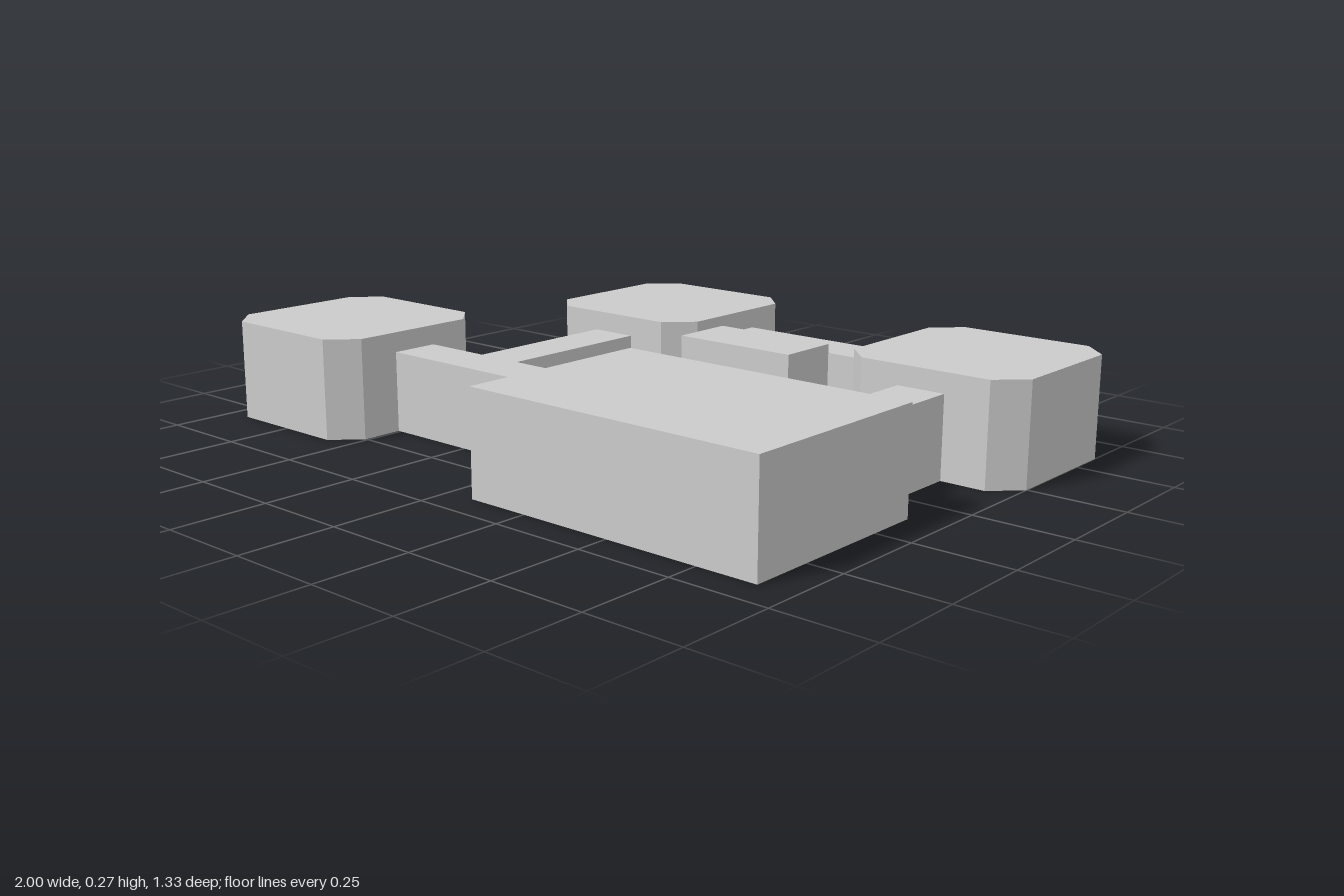
import * as THREE from 'three';

const T = 0.01;        // shell thickness
const ROOM_H = 0.268;  // room height
const HALL_H = 0.215;  // corridor height
const W = 0.13;        // corridor width
const material = new THREE.MeshStandardMaterial({ color: 0xcccccc, flatShading: true });

// Rectangular footprint [x, z] with optional cut corners
function footprint(x0, z0, x1, z1, c = 0) {
  if (!c) return [[x0, z0], [x1, z0], [x1, z1], [x0, z1]];
  return [[x0 + c, z0], [x1 - c, z0], [x1, z0 + c], [x1, z1 - c],
    [x1 - c, z1], [x0 + c, z1], [x0, z1 - c], [x0, z0 + c]];
}

// Hollow block without a floor; each door [x, z, width] opens the wall it lies on
function block(name, points, height, doors) {
  const group = new THREE.Group();
  group.name = name;

  // Ceiling slab
  const outline = new THREE.Shape(points.map(([x, z]) => new THREE.Vector2(x, z)));
  const slab = new THREE.ExtrudeGeometry(outline, { depth: T, bevelEnabled: false });
  slab.rotateX(Math.PI / 2).translate(0, height, 0);
  const ceiling = new THREE.Mesh(slab, material);
  ceiling.name = 'ceiling';
  group.add(ceiling);

  // One wall panel per edge, notched at the doorways
  points.forEach(([px, pz], i) => {
    const [qx, qz] = points[(i + 1) % points.length];
    const length = Math.hypot(qx - px, qz - pz);
    const dx = (qx - px) / length, dz = (qz - pz) / length;
    const panel = new THREE.Shape().moveTo(0, 0);
    doors
      .map(([x, z, w]) => ({
        along: (x - px) * dx + (z - pz) * dz,
        off: Math.abs((z - pz) * dx - (x - px) * dz),
        half: w / 2 - T,
      }))
      .filter(d => d.off < 0.005 && d.along > 0 && d.along < length)
      .sort((a, b) => a.along - b.along)
      .forEach(({ along, half }) => {
        panel.lineTo(along - half, 0);
        panel.lineTo(along - half, HALL_H - T);
        panel.lineTo(along + half, HALL_H - T);
        panel.lineTo(along + half, 0);
      });
    panel.lineTo(length, 0);
    panel.lineTo(length, height);
    panel.lineTo(0, height);
    const wall = new THREE.Mesh(
      new THREE.ExtrudeGeometry(panel, { depth: T, bevelEnabled: false }), material);
    wall.name = 'wall';
    wall.position.set(px, 0, pz);
    wall.rotation.y = Math.atan2(-dz, dx);
    group.add(wall);
  });
  return group;
}

export function createModel() {
  const model = new THREE.Group();
  model.name = 'connectedRooms';

  // Doorways, shared by the two blocks they join
  const door = {
    backWest: [-0.005, -0.425, W], backEast: [0.505, -0.425, W],
    closetHall: [0.252, -0.36, 0.087], closet: [0.252, -0.25, 0.087],
    westNorth: [-0.25, -0.177, W], westSouth: [-0.25, 0.26, W],
    frontWest: [-0.507, 0.325, W], frontEast: [0.08, 0.325, W],
    eastNorth: [0.745, -0.177, W], eastSouth: [0.745, 0.12, W],
  };

  const rooms = [
    ['backRightRoom', footprint(-0.498, -0.667, -0.005, -0.177, 0.07), ['backWest', 'westNorth']],
    ['backLeftRoom', footprint(0.505, -0.667, 1, -0.177, 0.07), ['backEast', 'eastNorth']],
    ['frontRightRoom', footprint(-1, 0.08, -0.507, 0.573, 0.07), ['frontWest']],
    ['mainHall', footprint(0.08, 0.12, 0.908, 0.665), ['frontEast', 'eastSouth']],
    ['smallRoom', footprint(0.08, -0.25, 0.425, -0.08), ['closet']],
  ];
  const corridors = [
    ['backCorridor', footprint(-0.005, -0.49, 0.505, -0.36), ['backWest', 'backEast', 'closetHall']],
    ['smallRoomCorridor', footprint(0.2085, -0.36, 0.2955, -0.25), ['closetHall', 'closet']],
    ['rightCorridor', footprint(-0.315, -0.177, -0.185, 0.26), ['westNorth', 'westSouth']],
    ['frontCorridor', footprint(-0.507, 0.26, 0.08, 0.39), ['frontWest', 'frontEast', 'westSouth']],
    ['leftCorridor', footprint(0.68, -0.177, 0.81, 0.12), ['eastNorth', 'eastSouth']],
  ];
  for (const [list, height] of [[rooms, ROOM_H], [corridors, HALL_H]]) {
    for (const [name, points, doors] of list) {
      model.add(block(name, points, height, doors.map(d => door[d])));
    }
  }
  return model;
}
